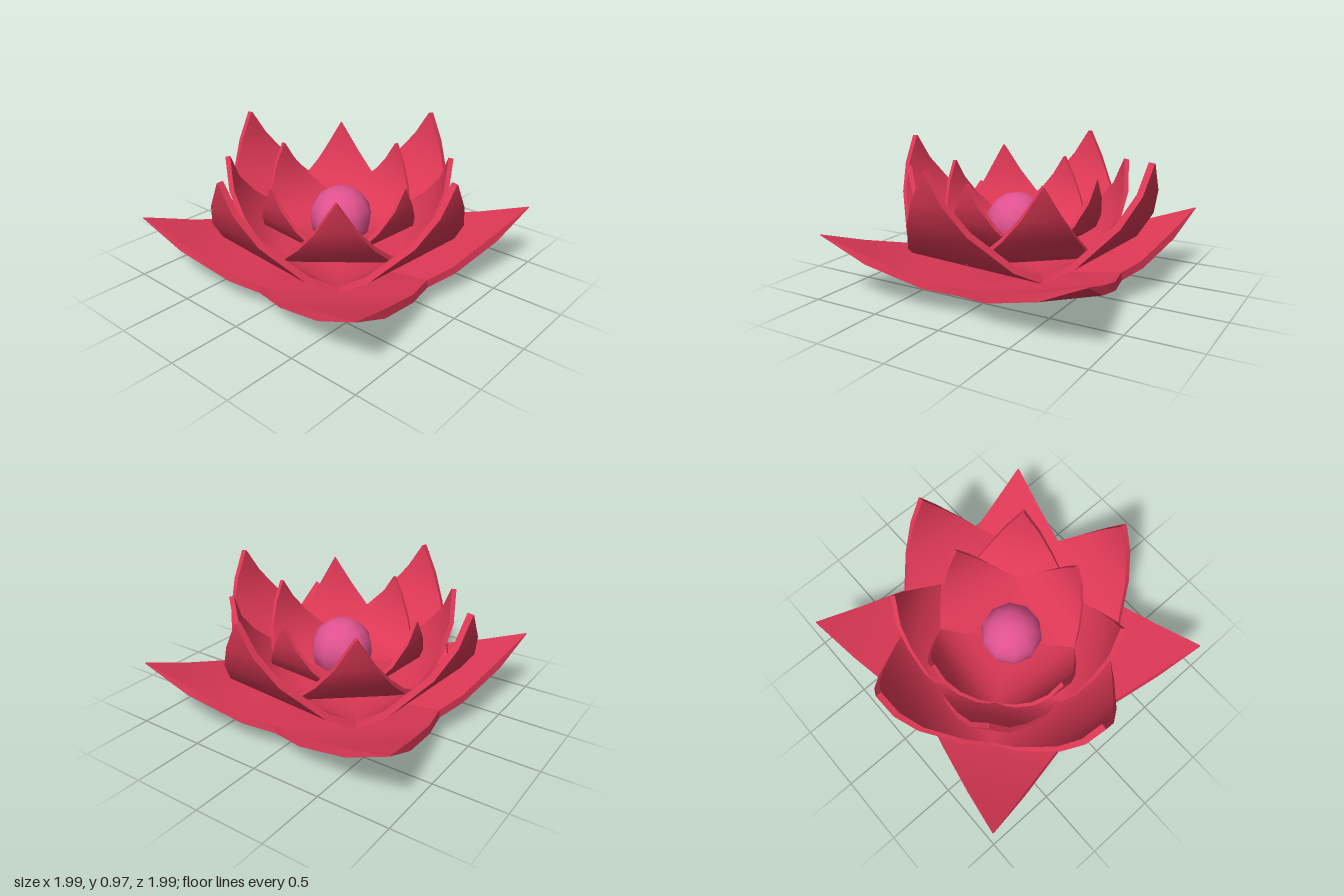
import * as THREE from 'three';
import { toCreasedNormals } from 'three/addons/utils/BufferGeometryUtils.js';

// Each layer is a star-shaped sheet of four petals bent upward along their axes.
// profile: [distance from centre, height] of the underside; mid: index where neighbours part.
const LAYERS = [
  { name: 'baseLeaf', turn: 45, thick: 0.055, mid: 2, taper: true,
    profile: [[0, 0], [0.28, 0.08], [0.55, 0.145], [0.76, 0.165], [1.1, 0.285], [1.37, 0.45]] },
  { name: 'outerPetal', turn: -4.6, thick: 0.042, mid: 2,
    profile: [[0, 0.22], [0.35, 0.22], [0.54, 0.255], [0.7, 0.35], [0.9, 0.59], [0.98, 0.78], [1, 0.97]] },
  { name: 'middlePetal', turn: 40, thick: 0.034, mid: 2,
    profile: [[0, 0.26], [0.28, 0.26], [0.43, 0.29], [0.54, 0.36], [0.66, 0.5], [0.745, 0.66], [0.78, 0.865]] },
  { name: 'innerPetal', turn: -4.6, thick: 0.027, mid: 2,
    profile: [[0, 0.31], [0.22, 0.31], [0.35, 0.34], [0.46, 0.42], [0.545, 0.54], [0.595, 0.68], [0.605, 0.82]] },
];

// One petal pointing to +z, lofted from rectangular cross-sections.
function petalGeometry({ profile, thick, mid, taper }) {
  const last = profile.length - 1;
  const s = [0];
  for (let i = 1; i <= last; i++) {
    s.push(s[i - 1] + Math.hypot(profile[i][0] - profile[i - 1][0], profile[i][1] - profile[i - 1][1]));
  }
  const sections = profile.map(([z, y], i) => {
    const a = profile[Math.max(i - 1, 0)], b = profile[Math.min(i + 1, last)];
    const len = Math.hypot(b[0] - a[0], b[1] - a[1]);
    const t = taper && i === last ? 0.004 : thick;
    const zIn = i === 0 ? 0 : z - (b[1] - a[1]) / len * t;
    const yIn = y + (b[0] - a[0]) / len * t;
    const w = i <= mid ? z : Math.max(0.004, profile[mid][0] * (s[last] - s[i]) / (s[last] - s[mid]));
    const wIn = i < mid ? zIn : w;
    return [[-w, y, z], [w, y, z], [wIn, yIn, zIn], [-wIn, yIn, zIn]];
  });
  const pos = [];
  const quad = (a, b, c, d) => pos.push(...a, ...b, ...c, ...a, ...c, ...d);
  for (let i = 0; i < last; i++) {
    const [a0, b0, c0, d0] = sections[i], [a1, b1, c1, d1] = sections[i + 1];
    quad(d0, d1, c1, c0);               // inside
    quad(a0, b0, b1, a1);               // underside
    if (i >= mid) {                     // rims
      quad(b0, c0, c1, b1);
      quad(a0, a1, d1, d0);
    }
  }
  const [a, b, c, d] = sections[last];
  quad(a, b, c, d);                     // tip
  const geo = new THREE.BufferGeometry();
  geo.setAttribute('position', new THREE.Float32BufferAttribute(pos, 3));
  return toCreasedNormals(geo, 0.75);
}

export function createModel() {
  const petalRed = new THREE.MeshStandardMaterial({ name: 'petalRed', color: 0xdd3855 });
  const heartPink = new THREE.MeshStandardMaterial({ name: 'heartPink', color: 0xe0528f });
  const spotPink = new THREE.MeshStandardMaterial({ name: 'spotPink', color: 0xb84a78 });

  const flower = new THREE.Group();
  flower.name = 'flower';

  // four nested layers of four petals
  for (const layer of LAYERS) {
    const group = new THREE.Group();
    group.name = layer.name + 'Layer';
    const geo = petalGeometry(layer);
    for (let i = 0; i < 4; i++) {
      const petal = new THREE.Mesh(geo, petalRed);
      petal.name = layer.name;
      petal.rotation.y = THREE.MathUtils.degToRad(layer.turn) + i * Math.PI / 2;
      group.add(petal);
    }
    flower.add(group);
  }

  // round heart
  const heart = new THREE.Mesh(new THREE.SphereGeometry(0.22, 10, 8), heartPink);
  heart.name = 'heart';
  heart.position.set(-0.015, 0.44, 0.03);
  flower.add(heart);

  // small spot lying on the back right base leaf
  const spot = new THREE.Mesh(new THREE.CircleGeometry(0.05, 16), spotPink);
  spot.name = 'leafSpot';
  spot.position.set(-0.55, 0.232, -0.57);
  spot.lookAt(-0.55 + 0.22, 1.232, -0.57 + 0.22);
  flower.add(spot);

  return flower;
}
